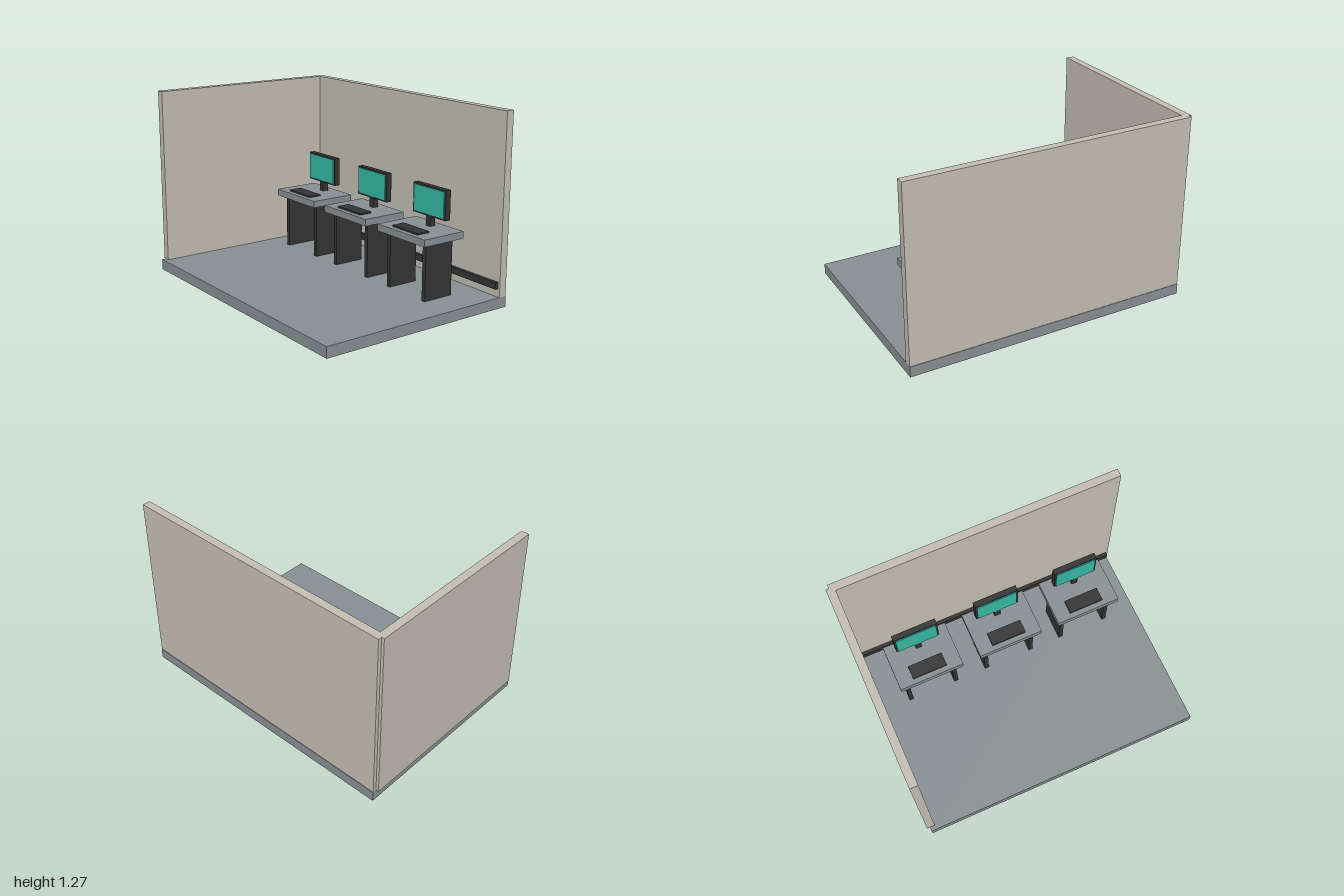
import * as THREE from 'three';

const paint = (name, color) => {
  const m = new THREE.MeshStandardMaterial({ color });
  m.name = name;
  return m;
};

// Box given by its [min, max] extent on each axis
function box(parent, name, material, [x0, x1], [y0, y1], [z0, z1]) {
  const mesh = new THREE.Mesh(new THREE.BoxGeometry(x1 - x0, y1 - y0, z1 - z0), material);
  mesh.position.set((x0 + x1) / 2, (y0 + y1) / 2, (z0 + z1) / 2);
  mesh.name = name;
  parent.add(mesh);
  return mesh;
}

export function createModel() {
  const wall = paint('warm grey wall', 0xc2bdb3);
  const slab = paint('cool grey', 0x878f92);
  const dark = paint('charcoal', 0x343434);
  const teal = paint('teal screen', 0x35b7a4);

  const model = new THREE.Group();
  model.name = 'computerRoom';

  // Room shell
  box(model, 'floor', slab, [-0.98, 1], [0, 0.073], [-0.71, 0.71]);
  box(model, 'backWall', wall, [-0.98, 1], [0.073, 1.275], [-0.707, -0.652]);
  box(model, 'sideWall', wall, [-1, -0.945], [0.073, 1.275], [-0.682, 0.68]);
  box(model, 'wallRail', dark, [-0.945, 0.985], [0.128, 0.173], [-0.652, -0.628]);

  // Three identical workstations
  for (const x of [-0.575, 0.008, 0.591]) {
    const station = new THREE.Group();
    station.name = 'workstation';
    station.position.x = x;
    model.add(station);

    box(station, 'deskTop', slab, [-0.228, 0.228], [0.45, 0.497], [-0.495, -0.166]);
    for (const side of [-1, 1]) {
      const leg = side * 0.172;
      box(station, 'deskLeg', dark, [leg - 0.015, leg + 0.015], [0.073, 0.45], [-0.439, -0.217]);
    }
    box(station, 'keyboard', dark, [-0.123, 0.123], [0.497, 0.508], [-0.297, -0.202]);
    box(station, 'monitorStand', dark, [-0.021, 0.021], [0.497, 0.568], [-0.438, -0.397]);
    box(station, 'monitor', dark, [-0.155, 0.155], [0.561, 0.76], [-0.443, -0.403]);
    box(station, 'screen', teal, [-0.143, 0.143], [0.571, 0.75], [-0.403, -0.396]);
  }
  return model;
}
